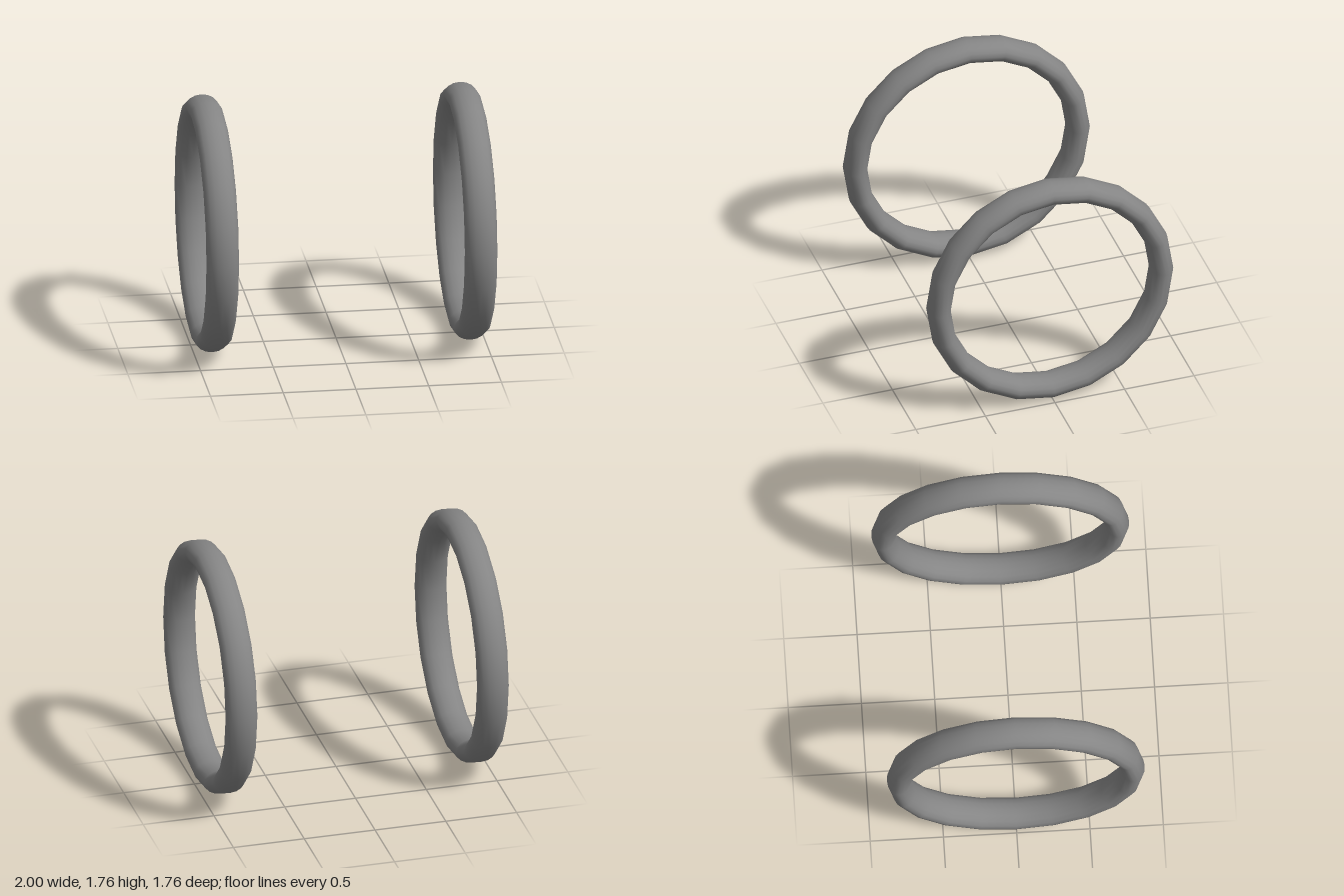
import * as THREE from 'three';

const RING_RADIUS = 0.8;   // centre line of the tube
const TUBE_RADIUS = 0.08;  // radial half thickness
const HALF_WIDTH = 0.112;  // half width along the axle direction

export function createModel() {
  const group = new THREE.Group();
  group.name = 'ringPair';
  const material = new THREE.MeshStandardMaterial({ color: 0x858585 });

  // Twenty-sided ring with an oval tube, turned so its axis lies along x
  const geometry = new THREE.TorusGeometry(RING_RADIUS, TUBE_RADIUS, 16, 20);
  geometry.scale(1, 1, HALF_WIDTH / TUBE_RADIUS);
  geometry.rotateY(Math.PI / 2);

  // One ring on each side
  for (const [name, side] of [['leftRing', 1], ['rightRing', -1]]) {
    const ring = new THREE.Mesh(geometry, material);
    ring.name = name;
    ring.position.set(side * (1 - HALF_WIDTH), RING_RADIUS + TUBE_RADIUS, 0);
    group.add(ring);
  }
  return group;
}
